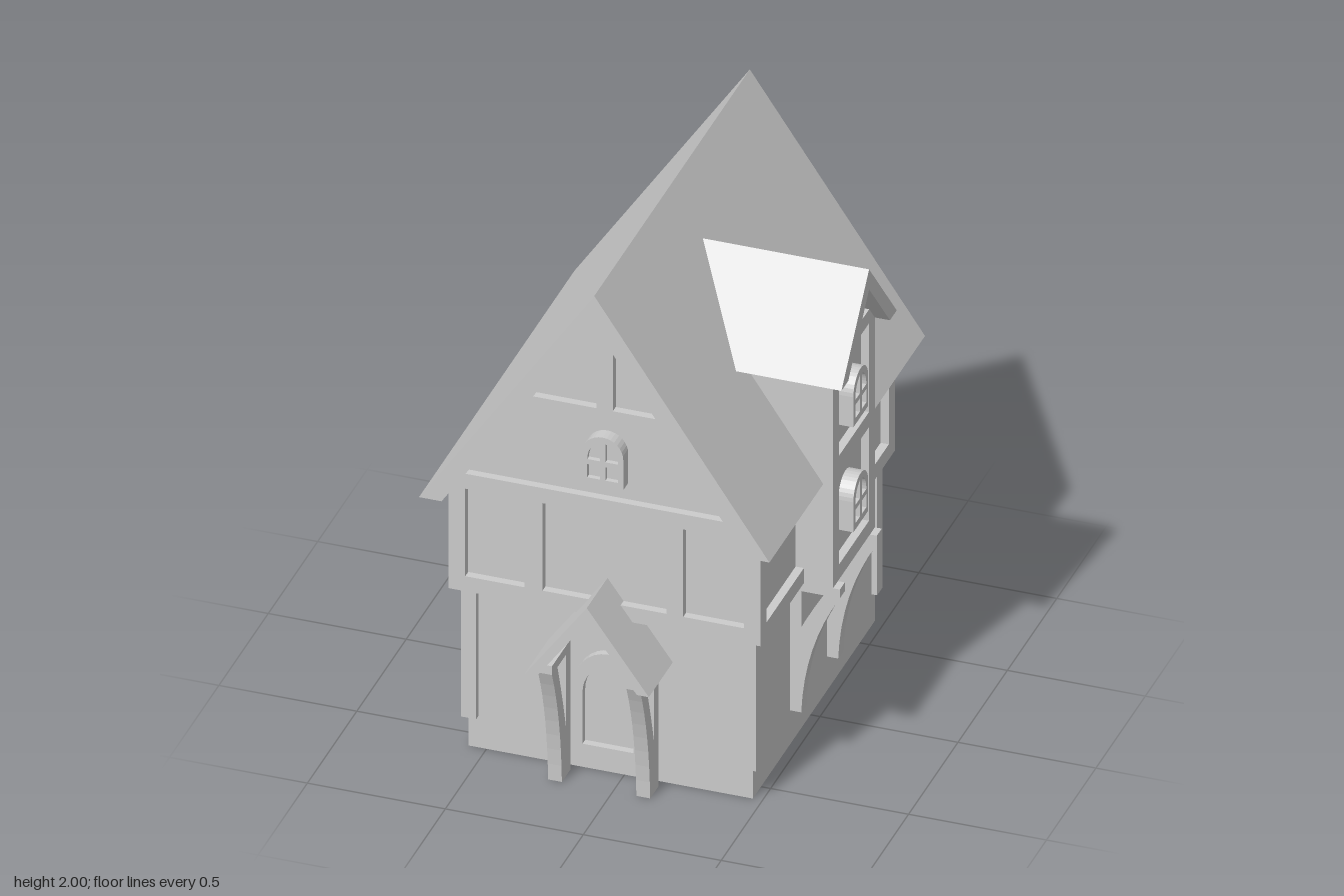
import * as THREE from 'three';

const grey = new THREE.MeshStandardMaterial({ color: 0xcccccc, flatShading: true });

// Closed outline from corner points
function outline(points, Type = THREE.Shape) {
  return new Type(points.map(([x, y]) => new THREE.Vector2(x, y)));
}
const rect = (x0, y0, x1, y1, Type) => outline([[x0, y0], [x1, y0], [x1, y1], [x0, y1]], Type);

// Round-topped outline standing on y0
function arch(w, y0, spring, rise, Type = THREE.Shape) {
  const s = new Type();
  s.moveTo(-w, y0);
  s.lineTo(w, y0);
  s.lineTo(w, spring);
  s.absellipse(0, spring, w, rise, 0, Math.PI, false);
  s.lineTo(-w, y0);
  return s;
}

// Slab extruded from z0 to z1
function slab(parent, name, shape, z0, z1, holes = []) {
  shape.holes.push(...holes);
  const geo = new THREE.ExtrudeGeometry(shape, { depth: z1 - z0, bevelEnabled: false, curveSegments: 8 });
  const mesh = new THREE.Mesh(geo.translate(0, 0, z0), grey);
  mesh.name = name;
  parent.add(mesh);
  return mesh;
}

function box(parent, name, [x0, y0, z0], [x1, y1, z1]) {
  const mesh = new THREE.Mesh(new THREE.BoxGeometry(x1 - x0, y1 - y0, z1 - z0), grey);
  mesh.position.set((x0 + x1) / 2, (y0 + y1) / 2, (z0 + z1) / 2);
  mesh.name = name;
  parent.add(mesh);
}

// Group whose local +z looks out of one side of the house
function side(parent, name, angle, z = 0) {
  const g = new THREE.Group();
  g.name = name;
  g.rotation.y = angle;
  g.position.z = z;
  parent.add(g);
  return g;
}

// Gable roof cross-section, cut level at the eaves
function chevron(hw, eave, apex, inner) {
  const iw = hw * (inner - eave) / (apex - eave);
  return outline([[-hw, eave], [-iw, eave], [0, inner], [iw, eave], [hw, eave], [0, apex]]);
}

// Arched window with four panes
function archWindow(parent, x, y, z, depth, scale = 1) {
  const g = new THREE.Group();
  g.name = 'window';
  g.position.set(x, y, z);
  g.scale.set(scale, scale, 1);
  const holes = [];
  for (const s of [-1, 1]) {
    holes.push(rect(s * 0.01, 0.025, s * 0.056, 0.078, THREE.Path));
    const pane = new THREE.Path();
    pane.moveTo(s * 0.01, 0.098);
    pane.lineTo(s * 0.056, 0.098);
    pane.quadraticCurveTo(s * 0.054, 0.155, s * 0.01, 0.17);
    pane.closePath();
    holes.push(pane);
  }
  slab(g, 'windowFrame', arch(0.075, 0, 0.12, 0.075), 0, depth, holes);
  slab(g, 'windowPane', arch(0.07, 0.005, 0.12, 0.07), 0, depth - 0.018);
  parent.add(g);
}

// Curved bracket: upright, top bar and bowed strut; x runs outwards from the wall
function bracket(parent, x, y, z, foot, reach, post, gap, angle) {
  const s = new THREE.Shape();
  s.moveTo(0, 0);
  s.lineTo(foot, 0);
  s.quadraticCurveTo(foot + 0.01, 0.27, reach, 0.485);
  s.lineTo(reach, 0.52);
  s.lineTo(0, 0.52);
  s.closePath();
  const hole = new THREE.Path();
  hole.moveTo(post, 0.485);
  hole.lineTo(reach - 0.055, 0.485);
  hole.quadraticCurveTo(post + 0.035, (gap + 0.485) / 2, post, gap);
  hole.closePath();
  const mesh = slab(parent, 'bracket', s, -0.025, 0.025, [hole]);
  mesh.position.set(x, y, z);
  mesh.rotation.y = angle;
}

export function createModel() {
  const model = new THREE.Group();
  const house = new THREE.Group();
  house.name = 'house';
  house.position.set(-0.05, 0, -0.035);
  model.add(house);

  // Ground floor walls, open underneath
  const walls = slab(house, 'groundFloorWalls', rect(-0.515, -0.6175, 0.515, 0.6175), 0, 0.67,
    [rect(-0.505, -0.6075, 0.505, 0.6075, THREE.Path)]);
  walls.rotation.x = -Math.PI / 2;
  for (const x of [-0.5075, 0.5075]) for (const z of [-0.6125, 0.6125])
    box(house, 'cornerPost', [x - 0.0275, 0.125, z - 0.0275], [x + 0.0275, 0.66, z + 0.0275]);

  // Jettied upper floor core and attic
  box(house, 'upperFloor', [-0.535, 0.656, -0.65], [0.535, 1.075, 0.65]);
  slab(house, 'atticGable', outline([[-0.545, 1.066], [0.545, 1.066], [0, 1.89]]), -0.65, 0.65);

  // Front and back timber framing
  for (const [name, angle] of [['frontFace', 0], ['backFace', Math.PI]]) {
    const f = side(house, name, angle);
    const panels = [[-0.505, -0.29], [-0.225, 0.225], [0.285, 0.505]];
    slab(f, 'upperFrame', rect(-0.565, 0.655, 0.565, 1.125), 0.65, 0.68,
      panels.map(([a, b]) => rect(a, 0.715, b, 1.065, THREE.Path)));
    slab(f, 'collarBeam', outline([[-0.312, 1.425], [0.312, 1.425], [0.271, 1.485], [-0.271, 1.485]]), 0.65, 0.68);
    slab(f, 'kingPost', rect(-0.03, 1.485, 0.03, 1.85), 0.65, 0.68);
    archWindow(f, 0, 1.19, 0.65, 0.05);
  }

  // Side framing
  const left = side(house, 'leftFace', Math.PI / 2);
  slab(left, 'sideFrame', rect(-0.65, 0.655, 0.65, 1.1), 0.535, 0.565,
    [rect(-0.62, 0.715, -0.24, 1.065, THREE.Path), rect(0.185, 0.715, 0.62, 1.065, THREE.Path)]);
  const right = side(house, 'rightFace', -Math.PI / 2);
  slab(right, 'sideFrame', rect(-0.65, 0.655, 0.65, 1.1), 0.535, 0.565,
    [rect(-0.62, 0.715, 0.62, 1.065, THREE.Path)]);
  for (const x of [-0.29, 0.29]) archWindow(right, x, 0.78, 0.535, 0.065, 1.2);
  slab(right, 'crossBrace', outline([[-0.58, 0.66], [0, 0.11], [0.58, 0.66], [0.5, 0.66], [0, 0.185], [-0.5, 0.66]]),
    0.48, 0.535);

  // Main roof
  slab(house, 'mainRoof', chevron(0.635, 1.065, 2, 1.88), -0.79, 0.785);

  // Oriel tower with its own gable roof
  const tower = side(house, 'tower', Math.PI / 2, 0.027);
  slab(tower, 'towerBody', outline([[-0.2125, 0.655], [0.2125, 0.655], [0.2125, 1.495], [0, 1.745], [-0.2125, 1.495]]),
    0.2, 0.64);
  slab(tower, 'towerFrame',
    outline([[-0.2125, 0.655], [0.2125, 0.655], [0.2125, 1.495], [0.157, 1.56], [-0.157, 1.56], [-0.2125, 1.495]]),
    0.64, 0.67,
    [rect(-0.153, 0.715, 0.153, 1.09, THREE.Path), rect(-0.153, 1.15, 0.153, 1.505, THREE.Path)]);
  for (const y of [0.805, 1.225]) archWindow(tower, 0, y, 0.64, 0.055);
  slab(tower, 'towerRoof', chevron(0.28, 1.495, 1.82, 1.74), 0.122, 0.725);
  for (const s of [-1, 1]) bracket(house, 0.515, 0.135, 0.027 + s * 0.187, 0.04, 0.18, 0.04, 0.34, 0);

  // Door surround and porch
  slab(house, 'doorFrame', arch(0.13, 0.09, 0.325, 0.16), 0.6, 0.645,
    [arch(0.0925, 0.11, 0.315, 0.115, THREE.Path)]);
  slab(house, 'porchRoof', chevron(0.225, 0.485, 0.795, 0.735), 0.6175, 0.86);
  for (const s of [-1, 1]) bracket(house, s * 0.16, 0, 0.65, 0.085, 0.185, 0.045, 0.2, -Math.PI / 2);

  return model;
}
